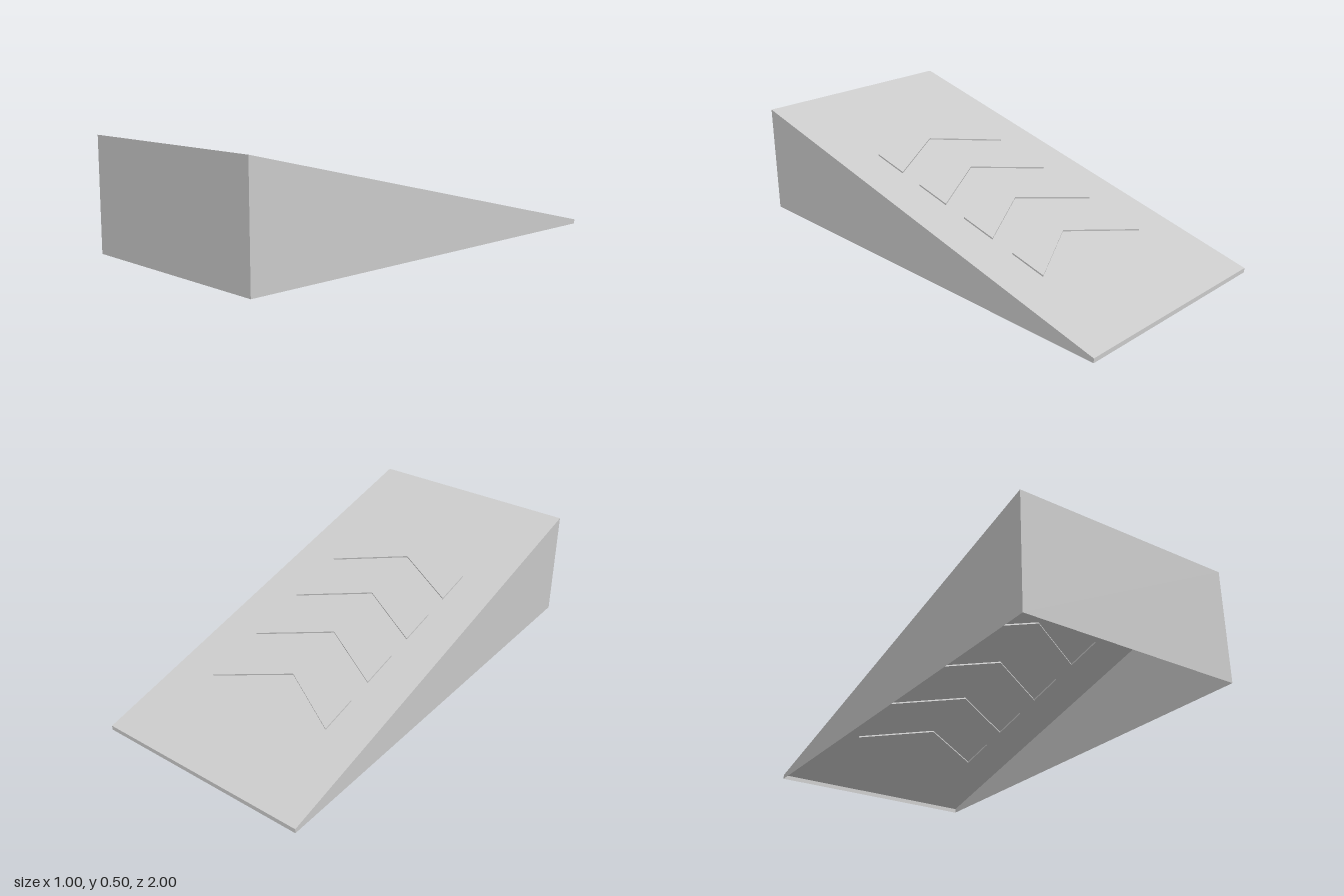
import * as THREE from 'three';

const material = new THREE.MeshStandardMaterial({ color: 0xcccccc, side: THREE.DoubleSide, flatShading: true });
const HIGH = 0.5, LOW = 0.02, HALF_W = 0.5, RAISE = 0.007;
const STRETCH = Math.hypot(2, HIGH - LOW) / 2; // slope length per unit of z

function part(name, geometry, parent) {
  const mesh = new THREE.Mesh(geometry, material);
  mesh.name = name;
  parent.add(mesh);
  return mesh;
}

// Chevron outline on the slope; apex points to the high end
function chevronPoints(z) {
  return [[0, 0], [0.31, -0.17], [0.31, -0.34], [0, -0.17], [-0.31, -0.34], [-0.31, -0.17]]
    .map(([x, dz]) => new THREE.Vector2(x, -(z + dz) * STRETCH));
}

// Upright walls along a closed outline
function wallLoop(points, height) {
  const pos = [];
  points.forEach((a, i) => {
    const b = points[(i + 1) % points.length];
    pos.push(a.x, a.y, 0, a.x, a.y, height, b.x, b.y, height);
    pos.push(a.x, a.y, 0, b.x, b.y, height, b.x, b.y, 0);
  });
  const g = new THREE.BufferGeometry();
  g.setAttribute('position', new THREE.Float32BufferAttribute(pos, 3));
  g.computeVertexNormals();
  return g;
}

export function createModel() {
  const model = new THREE.Group();
  model.name = 'ramp';

  // Side walls: the base of the ramp is open
  const profile = new THREE.Shape([
    new THREE.Vector2(-1, 0), new THREE.Vector2(1, 0),
    new THREE.Vector2(1, LOW), new THREE.Vector2(-1, HIGH),
  ]);
  for (const s of [1, -1]) {
    const g = new THREE.ShapeGeometry(profile).rotateY(Math.PI / 2);
    if (s < 0) g.scale(-1, 1, 1).index.array.reverse();
    g.computeVertexNormals();
    part(s > 0 ? 'leftWall' : 'rightWall', g, model).position.x = s * HALF_W;
  }

  // End walls
  part('frontWall', new THREE.PlaneGeometry(2 * HALF_W, HIGH), model).position.set(0, HIGH / 2, 1);
  const back = part('backLip', new THREE.PlaneGeometry(2 * HALF_W, LOW).rotateY(Math.PI), model);
  back.position.set(0, LOW / 2, -1);

  // Sloped deck, drawn flat in x/y and then tilted
  const deck = new THREE.Group();
  deck.name = 'deck';
  deck.rotation.x = -Math.PI / 2 - Math.atan((HIGH - LOW) / 2);
  deck.position.y = (HIGH + LOW) / 2;
  model.add(deck);
  const surface = new THREE.Shape([
    new THREE.Vector2(-HALF_W, -STRETCH), new THREE.Vector2(HALF_W, -STRETCH),
    new THREE.Vector2(HALF_W, STRETCH), new THREE.Vector2(-HALF_W, STRETCH),
  ]);

  // Raised chevrons, hollow from below
  for (let i = 0; i < 4; i++) {
    const points = chevronPoints(-0.24 + i * 0.283);
    surface.holes.push(new THREE.Path(points));
    const chevron = new THREE.Group();
    chevron.name = 'chevron' + (i + 1);
    deck.add(chevron);
    part('chevronTop', new THREE.ShapeGeometry(new THREE.Shape(points)), chevron).position.z = RAISE;
    part('chevronRim', wallLoop([...points].reverse(), RAISE).scale(1, 1, 1), chevron);
  }
  part('deckSurface', new THREE.ShapeGeometry(surface), deck);
  return model;
}
